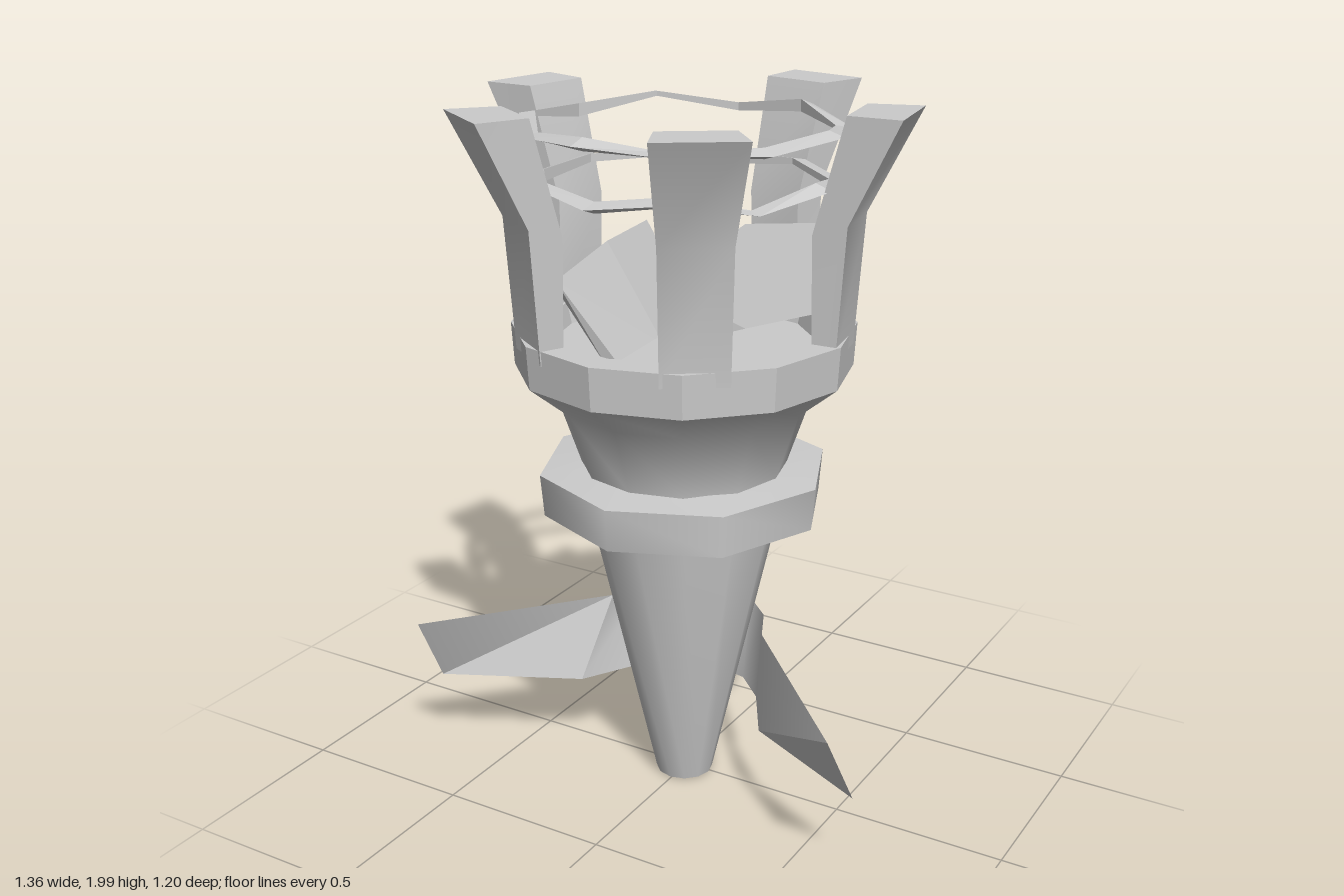
import * as THREE from 'three';
import { toCreasedNormals } from 'three/addons/utils/BufferGeometryUtils.js';

const smooth = new THREE.MeshStandardMaterial({ color: 0xcccccc });
const flat = new THREE.MeshStandardMaterial({ color: 0xcccccc, flatShading: true });
const sheet = new THREE.MeshStandardMaterial({ color: 0xcccccc, side: THREE.DoubleSide });

function mesh(name, geometry, material) {
  const m = new THREE.Mesh(geometry, material);
  m.name = name;
  return m;
}

// Closed solid through cross-sections that all have the same number of corners
function loft(sections) {
  const n = sections[0].length, last = (sections.length - 1) * n, index = [];
  for (let s = 0; s < last; s += n) {
    for (let i = 0; i < n; i++) {
      const a = s + i, b = s + (i + 1) % n;
      index.push(a, b, b + n, a, b + n, a + n);
    }
  }
  for (let i = 1; i < n - 1; i++) {
    index.push(0, i + 1, i, last, last + i, last + i + 1);
  }
  const g = new THREE.BufferGeometry();
  g.setAttribute('position', new THREE.Float32BufferAttribute(sections.flat(2), 3));
  g.setIndex(index);
  g.computeVertexNormals();
  return g;
}

// Turned part from [radius, height] pairs, listed from bottom to top of the outside
function turned(profile, sides) {
  return new THREE.LatheGeometry(profile.map(([r, y]) => new THREE.Vector2(r, y)), sides);
}

// Slim uneven hoop with a triangular section
function hoop(radius, y, phase) {
  const g = new THREE.TorusGeometry(radius, 0.03, 3, 11).rotateX(Math.PI / 2);
  const p = g.attributes.position;
  for (let i = 0; i < p.count; i++) {
    const a = Math.atan2(p.getZ(i), p.getX(i));
    const k = 1 + 0.05 * Math.sin(2 * a + phase);
    const thickness = 0.45 + 0.25 * Math.sin(4 * a + phase);
    p.setXYZ(i, p.getX(i) * k, y + p.getY(i) * thickness + 0.015 * Math.sin(5 * a + phase), p.getZ(i) * k);
  }
  return g;
}

// Cloth band knotted round the handle, both ends flying forward
function bandGeometry() {
  // Right half, back to tip: top corner then bottom corner
  const half = [
    [[0, 0.515, -0.19], [0, 0.265, -0.165]],
    [[0.12, 0.515, -0.175], [0.11, 0.265, -0.145]],
    [[0.2, 0.515, -0.1], [0.2, 0.265, -0.06]],
    [[0.25, 0.515, 0.01], [0.3, 0.265, 0.11]],
    [[0.66, 0.49, 0.42], [0.68, 0.265, 0.295]],
  ];
  const left = half.slice(1).reverse().map(pair => pair.map(([x, y, z]) => [-x, y, z]));
  const rows = [...left, ...half], index = [];
  for (let i = 0; i < rows.length - 1; i++) {
    const a = 2 * i;
    index.push(a, a + 2, a + 1, a + 1, a + 2, a + 3);
  }
  const g = new THREE.BufferGeometry();
  g.setAttribute('position', new THREE.Float32BufferAttribute(rows.flat(2), 3));
  g.setIndex(index);
  return toCreasedNormals(g, 0.6);
}

export function createModel() {
  const model = new THREE.Group();
  model.name = 'torch';

  const body = new THREE.Group();
  body.name = 'body';
  body.position.z = 0.015;
  model.add(body);

  // Tapered handle flaring out under the bowl
  body.add(mesh('handle', toCreasedNormals(
    turned([[0, 0.01], [0.083, 0.015], [0.275, 0.87], [0.29, 1], [0.355, 1.19], [0.465, 1.28]], 12), 0.9), smooth));

  // Bowl rim with a shallow floor
  body.add(mesh('bowl', turned([[0.465, 1.28], [0.472, 1.4], [0.385, 1.4], [0.37, 1.34], [0, 1.34]], 12), flat));

  // Octagonal grip ring
  body.add(mesh('gripRing', toCreasedNormals(
    turned([[0.27, 0.87], [0.4, 0.87], [0.41, 0.99], [0.28, 1]], 8), 0.9), smooth));

  // Crown prongs: height outside, height inside, radii and half widths
  const steps = [
    [1.36, 1.36, 0.452, 0.385, 0.09, 0.08],
    [1.72, 1.69, 0.475, 0.38, 0.095, 0.085],
    [2, 2, 0.612, 0.465, 0.12, 0.1],
  ];
  const prong = toCreasedNormals(loft(steps.map(([yo, yi, ro, ri, wo, wi]) =>
    [[-wo, yo, ro], [wo, yo, ro], [wi, yi, ri], [-wi, yi, ri]])), 0.6);
  for (const degrees of [-100, -34, 34, 100, 168.5]) {
    const m = mesh('prong', prong, smooth);
    m.rotation.y = THREE.MathUtils.degToRad(degrees);
    body.add(m);
  }

  // Hoops inside the crown
  body.add(mesh('upperHoop', hoop(0.425, 1.935, 0.5), flat));
  body.add(mesh('lowerHoop', hoop(0.385, 1.79, 2), flat));

  // Broken pieces lying in the bowl
  model.add(mesh('leaningSlab', loft([
    [[-0.25, 1.61, -0.2], [-0.28, 1.59, -0.19], [-0.14, 1.32, -0.24], [-0.1, 1.32, -0.25]],
    [[-0.21, 1.61, 0.07], [-0.235, 1.59, 0.06], [-0.11, 1.32, 0], [-0.075, 1.32, 0]],
    [[-0.2, 1.56, 0.33], [-0.22, 1.54, 0.31], [-0.09, 1.32, 0.26], [-0.05, 1.32, 0.25]],
  ]), flat));
  model.add(mesh('wedgeShard', loft([
    [[-0.02, 1.52, 0.115], [-0.03, 1.34, 0.1], [-0.08, 1.34, -0.03]],
    [[0.14, 1.67, -0.07], [0.16, 1.39, -0.04], [0.02, 1.4, -0.17]],
    [[0.32, 1.67, -0.19], [0.33, 1.43, -0.16], [0.27, 1.45, -0.35]],
  ]), flat));

  model.add(mesh('clothBand', bandGeometry(), sheet));
  return model;
}
